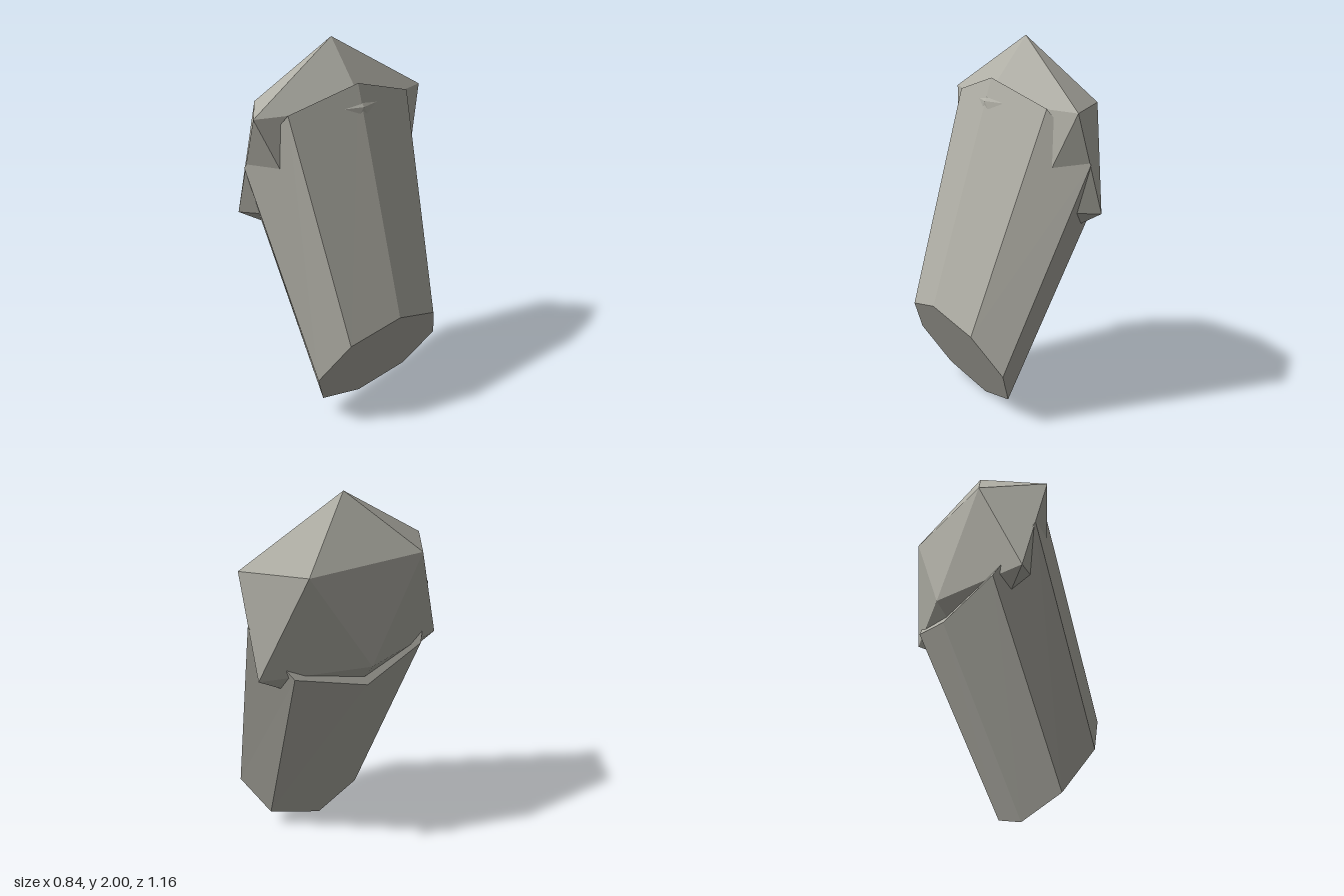
import * as THREE from 'three';

export function createModel() {
  const model = new THREE.Group();
  const stone = new THREE.MeshStandardMaterial({ color: 0xb0afa6, flatShading: true });
  stone.name = 'warm grey stone';

  const add = (name, geometry) => {
    const flat = geometry.index ? geometry.toNonIndexed() : geometry;
    flat.computeVertexNormals();
    const mesh = new THREE.Mesh(flat, stone);
    mesh.name = name;
    model.add(mesh);
    return mesh;
  };

  // Leaning eight-sided shaft: each end ring has its own centre, slanted axis and depth
  const ends = {
    top: { c: [-0.163, 1.405, 0.002], u: [0.218, 0.385], rz: 0.58 },
    bottom: { c: [0.252, 0.294, 0.02], u: [0.165, 0.292], rz: 0.43 },
  };
  const shaft = new THREE.CylinderGeometry(1, 1, 1, 8, 1);
  const p = shaft.attributes.position;
  for (let i = 0; i < p.count; i++) {
    const { c, u, rz } = p.getY(i) > 0 ? ends.top : ends.bottom;
    const a = p.getX(i), b = p.getZ(i);
    p.setXYZ(i, c[0] + a * u[0], c[1] + a * u[1], c[2] + b * rz);
  }
  add('crystalShaft', shaft);

  // Pointed twenty-sided stone sunk into the upper end of the shaft:
  // tip, two opposed rings of five, and a lower tip
  const r = 2 / Math.sqrt(5), h = 1 / Math.sqrt(5);
  const points = [0, 1, 0];
  for (const s of [1, -1]) {
    for (let i = 0; i < 5; i++) {
      const t = (i * 2 + (s < 0 ? 1 : 0)) * Math.PI / 5;
      points.push(r * Math.cos(t), s * h, r * Math.sin(t));
    }
  }
  points.push(0, -1, 0);
  const faces = [];
  for (let i = 0; i < 5; i++) {
    const a = 1 + i, b = 1 + (i + 1) % 5, c = 6 + i, d = 6 + (i + 1) % 5;
    faces.push(0, b, a, a, b, c, b, d, c, c, d, 11);
  }
  const cap = new THREE.BufferGeometry();
  cap.setAttribute('position', new THREE.Float32BufferAttribute(points, 3));
  cap.setIndex(faces);
  cap.scale(0.291, 0.595, 0.674);
  cap.translate(-0.161, 1.405, 0);
  add('pointedStone', cap);

  return model;
}
